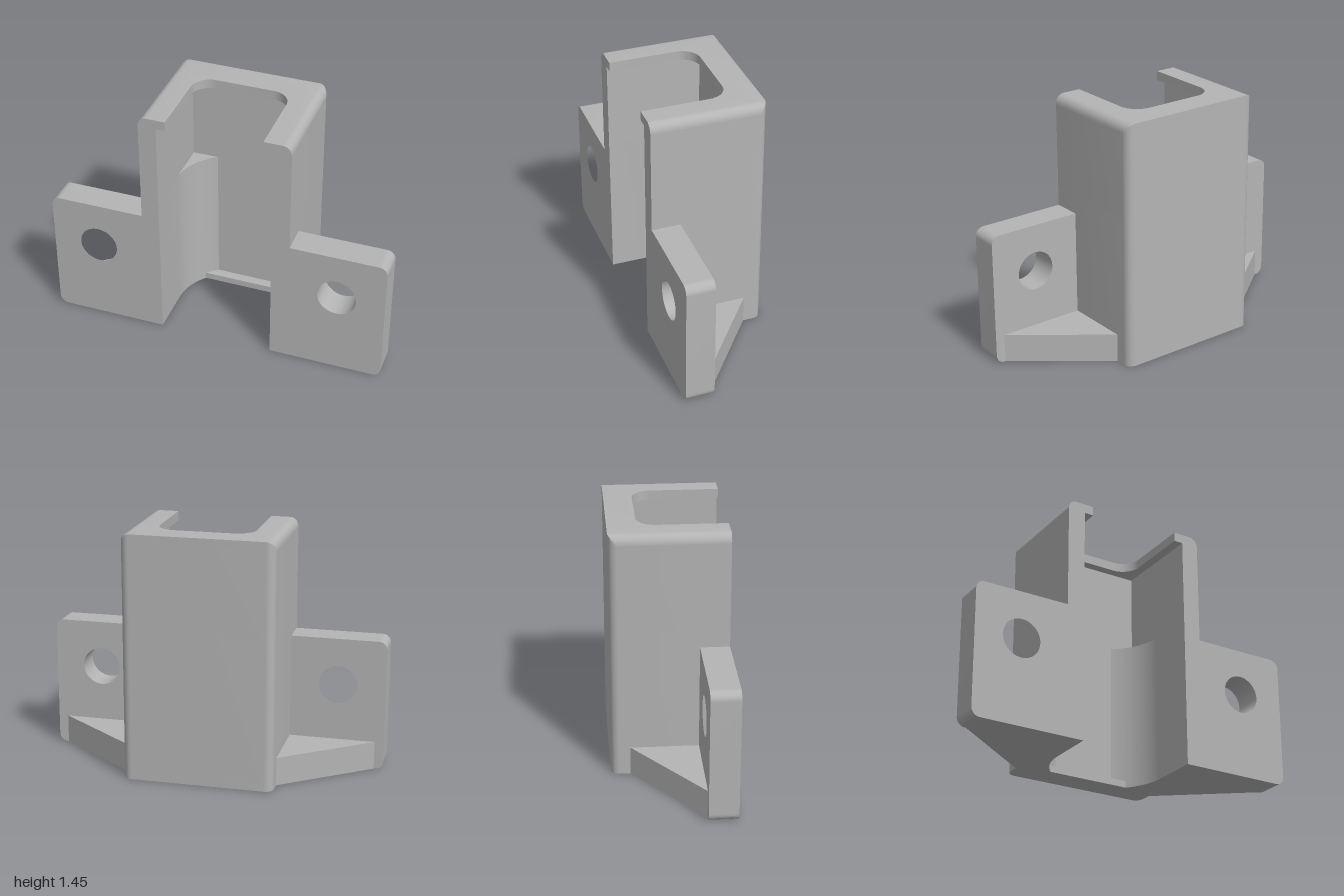
import * as THREE from 'three';
import { toCreasedNormals } from 'three/addons/utils/BufferGeometryUtils.js';

const W = 0.44, D = 0.333, R = 0.05;       // channel half width, half depth, edge radius
const INNER = 0.335, BACK = 0.225;         // cavity half width, cavity rear depth
const LIP_Y = 1.39, TOP = 1.445;

// U-shaped plan (shape y = -z); the callback draws the cavity from its left front to its right
function channelPlan(inner, drawCavity) {
  const s = new THREE.Shape();
  s.moveTo(inner, -D);
  s.lineTo(W, -D);
  s.lineTo(W, D - R);
  s.absarc(W - R, D - R, R, 0, Math.PI / 2, false);
  s.lineTo(-W + R, D);
  s.absarc(-W + R, D - R, R, Math.PI / 2, Math.PI, false);
  s.lineTo(-W, -D);
  s.lineTo(-inner, -D);
  drawCavity(s);
  s.closePath();
  return s;
}

// Round bore, cut flat at the given rear depth
function boreCavity(back) {
  const cy = -0.055, a = Math.asin((back - cy) / INNER);
  return (s) => {
    s.lineTo(-INNER, cy);
    s.absarc(0, cy, INNER, Math.PI, Math.PI - a, true);
    s.absarc(0, cy, INNER, a, 0, true);
  };
}

function squareCavity(s) {
  s.lineTo(-INNER, BACK);
  s.lineTo(INNER, BACK);
}

function lipCavity(s) {
  const x = 0.28, b = 0.17, r = 0.11;
  s.lineTo(-x, b - r);
  s.absarc(-x + r, b - r, r, Math.PI, Math.PI / 2, true);
  s.absarc(x - r, b - r, r, Math.PI / 2, 0, true);
}

// Extrude a plan upward from y0 to y1
function riseUp(shape, y0, y1, steps = 1) {
  const g = new THREE.ExtrudeGeometry(shape, { depth: y1 - y0, steps, bevelEnabled: false, curveSegments: 14 });
  return g.rotateX(-Math.PI / 2).translate(0, y0, 0);
}

export function createModel() {
  const model = new THREE.Group();
  model.name = 'mountingBracket';
  const grey = new THREE.MeshStandardMaterial({ color: 0xb4b4b4 });
  grey.name = 'grey';

  const add = (name, geometry) => {
    const mesh = new THREE.Mesh(toCreasedNormals(geometry, 0.4), grey);
    mesh.name = name;
    model.add(mesh);
  };

  // Channel, stacked from the floor up
  add('bottomLip', riseUp(channelPlan(INNER, boreCavity(0.17)), 0, 0.04));
  add('lowerChannel', riseUp(channelPlan(INNER, boreCavity(BACK)), 0.04, 0.885));
  add('upperChannel', riseUp(channelPlan(INNER, squareCavity), 0.885, LIP_Y));

  // Top lip: layers narrow towards the top to round the two side edges
  const lip = riseUp(channelPlan(0.28, lipCavity), LIP_Y, TOP, 8);
  const p = lip.attributes.position;
  for (let i = 0; i < p.count; i++) {
    const angle = ((p.getY(i) - LIP_Y) / (TOP - LIP_Y)) * Math.PI / 2;
    const limit = W - R + R * Math.cos(angle);
    p.setX(i, THREE.MathUtils.clamp(p.getX(i), -limit, limit));
    p.setY(i, LIP_Y + (TOP - LIP_Y) * Math.sin(angle));
  }
  add('topLip', lip);

  for (const side of [1, -1]) {
    const label = side > 0 ? 'left' : 'right';

    // Ear with rounded outer corners and a screw hole
    const ear = new THREE.Shape();
    const h = 0.78, z0 = 0.167;
    ear.moveTo(side * W, 0);
    ear.lineTo(side * (1 - R), 0);
    if (side > 0) {
      ear.absarc(1 - R, R, R, -Math.PI / 2, 0, false);
      ear.absarc(1 - R, h - R, R, 0, Math.PI / 2, false);
    } else {
      ear.absarc(-1 + R, R, R, -Math.PI / 2, -Math.PI, true);
      ear.absarc(-1 + R, h - R, R, Math.PI, Math.PI / 2, true);
    }
    ear.lineTo(side * W, h);
    ear.closePath();
    const hole = new THREE.Path();
    hole.absarc(side * 0.72, 0.503, 0.113, 0, Math.PI * 2, true);
    ear.holes.push(hole);
    const earGeometry = new THREE.ExtrudeGeometry(ear, { depth: D - z0, bevelEnabled: false, curveSegments: 24 });
    add(label + 'Ear', earGeometry.translate(0, 0, z0));

    // Triangular gusset behind the ear
    const gusset = new THREE.Shape([
      new THREE.Vector2(side * W, -z0),
      new THREE.Vector2(side * 0.945, -z0),
      new THREE.Vector2(side * W, 0.222),
    ]);
    add(label + 'Gusset', riseUp(gusset, 0, 0.167));
  }

  return model;
}
